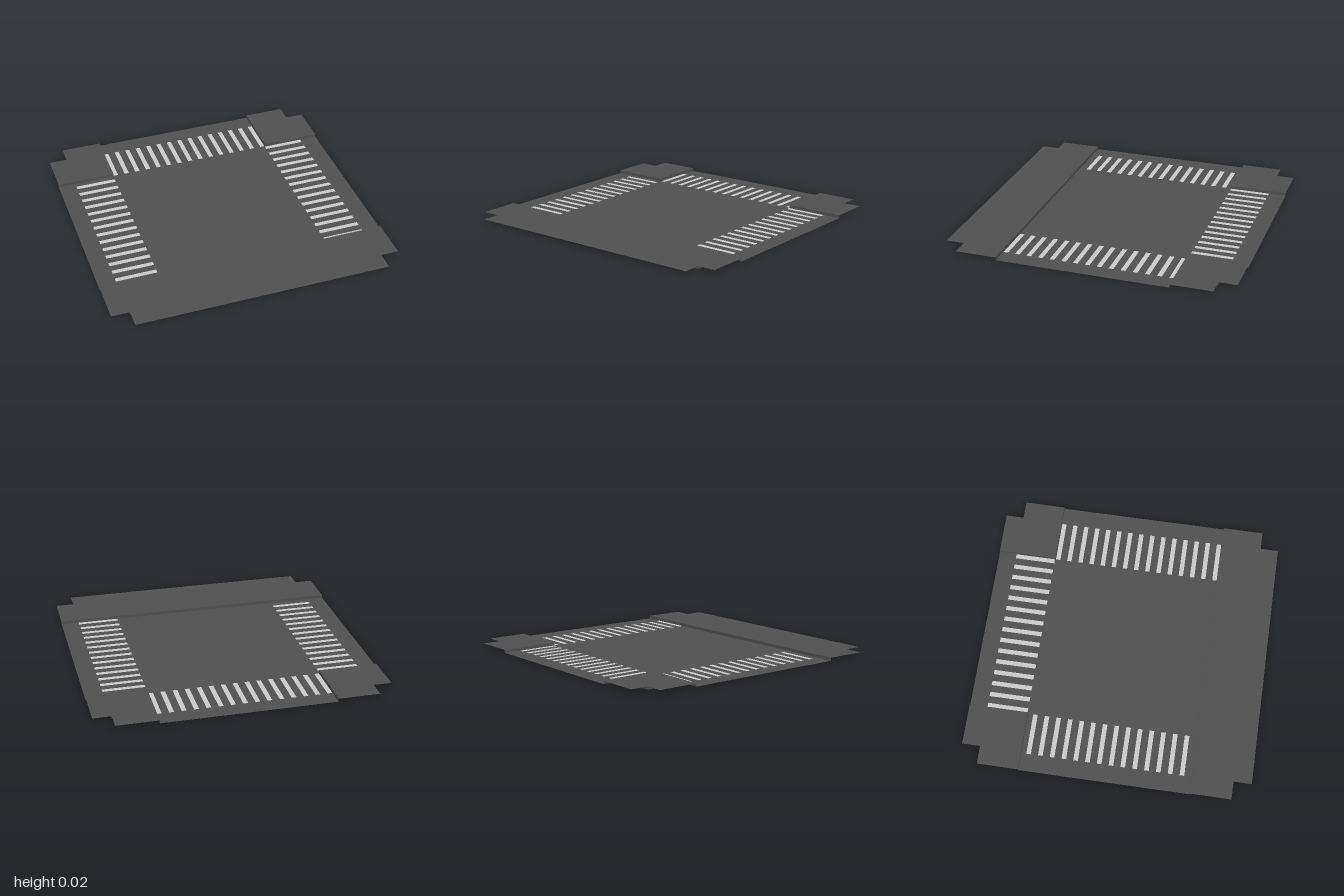
import * as THREE from 'three';

const CURB = 0.59, FOOT = 0.875, EDGE = 1, H = 0.021;
const PITCH = 0.0816, STRIPE = 0.032;

export function createModel() {
  const model = new THREE.Group();
  const asphalt = new THREE.MeshStandardMaterial({ color: 0x505051, side: THREE.DoubleSide });
  const paint = new THREE.MeshStandardMaterial({ color: 0xcccccc, side: THREE.DoubleSide });

  const toPoints = (pts) => pts.map(([x, z]) => new THREE.Vector2(x, -z));
  const rect = (x0, x1, z0, z1) => [[x0, z0], [x1, z0], [x1, z1], [x0, z1]];

  // Flat, upward-facing sheet from (x, z) corners
  function sheet(name, pts, y, material, holes = [], parent = model) {
    const shape = new THREE.Shape(toPoints(pts));
    shape.holes = holes.map((h) => new THREE.Path(toPoints(h)));
    const geometry = new THREE.ShapeGeometry(shape).rotateX(-Math.PI / 2);
    const mesh = new THREE.Mesh(geometry, material);
    mesh.name = name;
    mesh.position.y = y;
    parent.add(mesh);
  }

  // Upright strip of kerb height between two (x, z) points
  function wall(name, [x0, z0], [x1, z1], parent) {
    const mesh = new THREE.Mesh(new THREE.PlaneGeometry(Math.hypot(x1 - x0, z1 - z0), H), asphalt);
    mesh.name = name;
    mesh.position.set((x0 + x1) / 2, H / 2, (z0 + z1) / 2);
    mesh.rotation.y = -Math.atan2(z1 - z0, x1 - x0);
    parent.add(mesh);
  }

  // Crossing stripes on the three road arms
  const stripes = { backCrossing: [], leftCrossing: [], rightCrossing: [] };
  const w = STRIPE / 2;
  for (let i = 0; i < 15; i++) {
    const c = (i - 7) * PITCH;
    stripes.backCrossing.push(rect(c - w, c + w, -0.878, -0.595));
    stripes.leftCrossing.push(rect(0.588, FOOT, c - w, c + w));
    if (i < 14) {
      const d = c + 0.033;
      stripes.rightCrossing.push(rect(-0.878, -0.593, d - w, d + w));
    }
  }
  for (const [name, list] of Object.entries(stripes)) {
    const crossing = new THREE.Group();
    crossing.name = name;
    list.forEach((pts) => sheet('stripe', pts, 0, paint, [], crossing));
    model.add(crossing);
  }

  // T-shaped road with the stripes let into it
  sheet('road', [
    [-EDGE, CURB], [EDGE, CURB], [EDGE, -CURB], [CURB, -CURB],
    [CURB, -EDGE], [-CURB, -EDGE], [-CURB, -CURB], [-EDGE, -CURB],
  ], 0, asphalt, Object.values(stripes).flat());

  // Long front pavement: top overhangs its outer walls
  const front = new THREE.Group();
  front.name = 'frontPavement';
  sheet('pavementTop', [
    [-EDGE, CURB], [EDGE, CURB], [EDGE, FOOT], [FOOT, FOOT],
    [FOOT, EDGE], [-FOOT, EDGE], [-FOOT, FOOT], [-EDGE, FOOT],
  ], H, asphalt, [], front);
  wall('kerb', [EDGE, CURB], [-EDGE, CURB], front);
  wall('outerWall', [-FOOT, FOOT], [FOOT, FOOT], front);
  wall('endWall', [FOOT, FOOT], [FOOT, CURB], front);
  wall('endWall', [-FOOT, CURB], [-FOOT, FOOT], front);
  model.add(front);

  // Two back corner pavements
  for (const s of [1, -1]) {
    const corner = new THREE.Group();
    corner.name = s > 0 ? 'leftCornerPavement' : 'rightCornerPavement';
    sheet('pavementTop', [
      [s * CURB, -CURB], [s * EDGE, -CURB], [s * EDGE, -FOOT],
      [s * FOOT, -FOOT], [s * FOOT, -EDGE], [s * CURB, -EDGE],
    ], H, asphalt, [], corner);
    const walls = [
      ['kerb', [CURB, -CURB], [EDGE, -CURB]],
      ['kerb', [CURB, -EDGE], [CURB, -CURB]],
      ['outerWall', [FOOT, -FOOT], [CURB, -FOOT]],
      ['outerWall', [FOOT, -CURB], [FOOT, -FOOT]],
    ];
    for (const [name, a, b] of walls) {
      const p = [s * a[0], a[1]], q = [s * b[0], b[1]];
      if (s > 0) wall(name, p, q, corner);
      else wall(name, q, p, corner);
    }
    model.add(corner);
  }

  return model;
}
